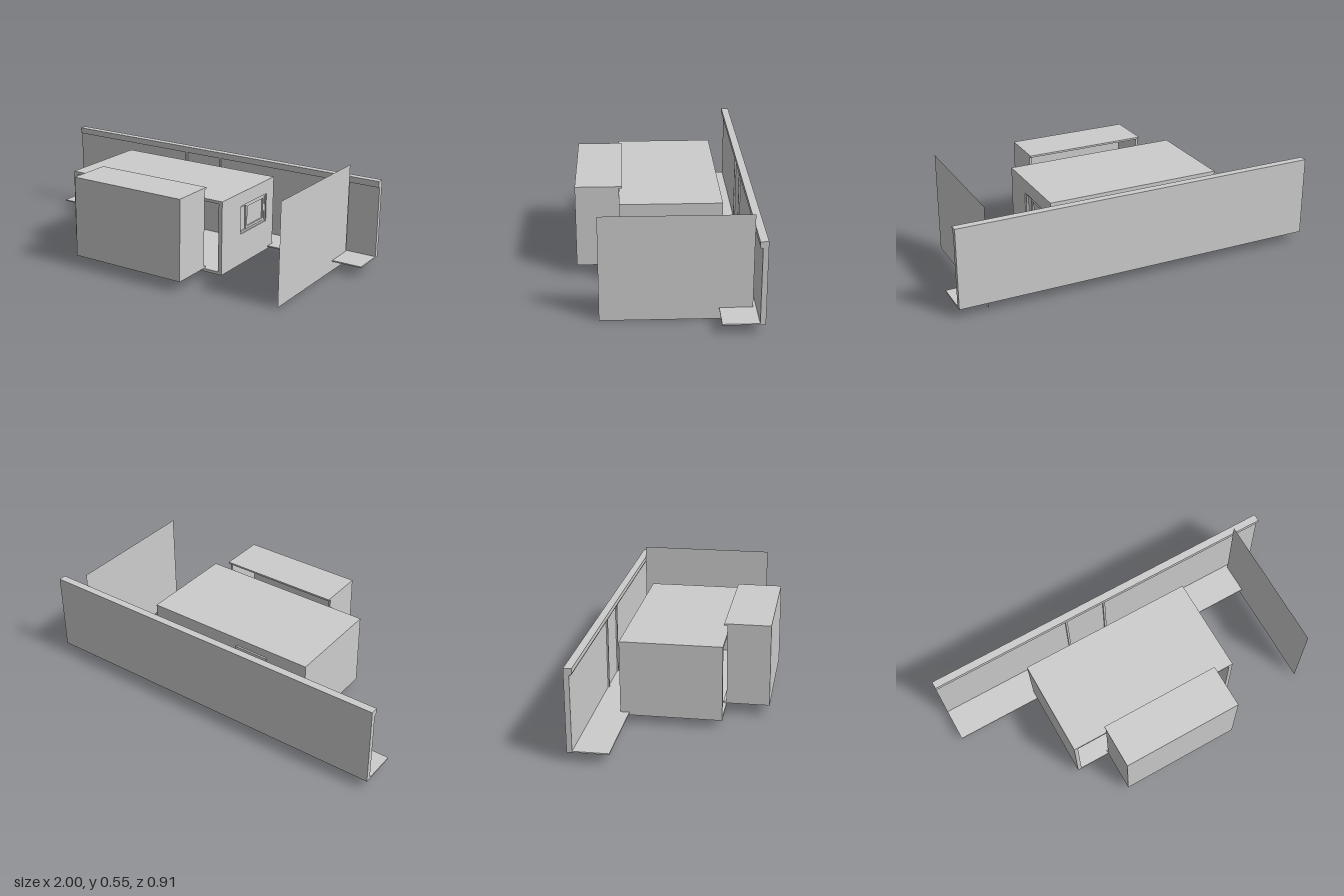
import * as THREE from 'three';

export function createModel() {
  const model = new THREE.Group();
  const grey = new THREE.MeshStandardMaterial({ color: 0xcccccc });
  const greySheet = grey.clone();
  grey.name = 'grey';
  greySheet.name = 'greySheet';
  greySheet.side = THREE.DoubleSide;

  const group = (name) => {
    const g = new THREE.Group();
    g.name = name;
    model.add(g);
    return g;
  };
  // Box given by its minimum and maximum on each axis
  const box = (parent, name, [x0, x1], [y0, y1], [z0, z1]) => {
    const mesh = new THREE.Mesh(new THREE.BoxGeometry(x1 - x0, y1 - y0, z1 - z0), grey);
    mesh.position.set((x0 + x1) / 2, (y0 + y1) / 2, (z0 + z1) / 2);
    mesh.name = name;
    parent.add(mesh);
    return mesh;
  };

  // Long side wall with top rail, floor ledge and battens
  const side = group('longWall');
  box(side, 'wallPanel', [-1, 1], [0.06, 0.46], [-0.457, -0.43]);
  box(side, 'topRail', [-1, 1], [0.46, 0.485], [-0.457, -0.416]);
  box(side, 'railLip', [-1, 1], [0.45, 0.46], [-0.43, -0.42]);
  box(side, 'floorLedge', [-1, 1], [0.053, 0.06], [-0.457, -0.25]);
  for (const x of [-0.215, 0.017]) {
    box(side, 'batten', [x - 0.006, x + 0.006], [0.06, 0.45], [-0.43, -0.422]);
  }

  // Room, open to the front
  const room = group('room');
  box(room, 'roomFloor', [-0.523, 0.44], [0.045, 0.06], [-0.297, 0.23]);
  box(room, 'roomRoof', [-0.523, 0.44], [0.43, 0.445], [-0.297, 0.23]);
  box(room, 'leftoverSideWall', [-0.523, -0.502], [0.06, 0.43], [-0.297, 0.23]).name = 'plainSideWall';
  box(room, 'backWall', [-0.502, 0.419], [0.06, 0.43], [-0.297, -0.277]);
  box(room, 'door', [-0.285, -0.095], [0.06, 0.4], [-0.307, -0.297]);

  // Side wall with a window opening; the shape's x runs along -z
  const rect = (shape, x0, x1, y0, y1) =>
    shape.moveTo(x0, y0).lineTo(x1, y0).lineTo(x1, y1).lineTo(x0, y1).closePath();
  const panel = (name, outer, inner, x, depth) => {
    const shape = new THREE.Shape();
    rect(shape, ...outer);
    const hole = new THREE.Path();
    rect(hole, ...inner);
    shape.holes.push(hole);
    const mesh = new THREE.Mesh(
      new THREE.ExtrudeGeometry(shape, { depth, bevelEnabled: false }), grey);
    mesh.rotation.y = Math.PI / 2;
    mesh.position.x = x;
    mesh.name = name;
    room.add(mesh);
  };
  panel('windowWall', [-0.23, 0.297, 0.06, 0.43], [-0.045, 0.22, 0.215, 0.37], 0.419, 0.021);
  panel('windowFrame', [-0.045, 0.22, 0.215, 0.37], [-0.035, 0.21, 0.225, 0.36], 0.421, 0.013);
  panel('windowSash', [0.02, 0.21, 0.225, 0.36], [0.035, 0.197, 0.237, 0.348], 0.423, 0.009);
  box(room, 'windowPane', [0.42, 0.424], [0.225, 0.36], [-0.21, 0.035]);

  // Hollow bay pulled out from the room, open at the back
  const bay = group('bay');
  box(bay, 'bayFloor', [-0.333, 0.333], [0.06, 0.07], [0.213, 0.455]);
  box(bay, 'bayRoof', [-0.333, 0.333], [0.49, 0.5], [0.213, 0.455]);
  box(bay, 'bayFront', [-0.333, 0.333], [0.07, 0.49], [0.443, 0.455]);
  for (const s of [-1, 1]) {
    const [a, b] = [s * 0.333, s * 0.321];
    box(bay, 'baySide', [Math.min(a, b), Math.max(a, b)], [0.07, 0.49], [0.23, 0.443]);
  }

  // Free-standing thin divider
  const divider = new THREE.Mesh(new THREE.PlaneGeometry(0.75, 0.55), greySheet);
  divider.rotation.y = Math.PI / 2;
  divider.position.set(0.833, 0.275, -0.04);
  divider.name = 'divider';
  model.add(divider);

  return model;
}
